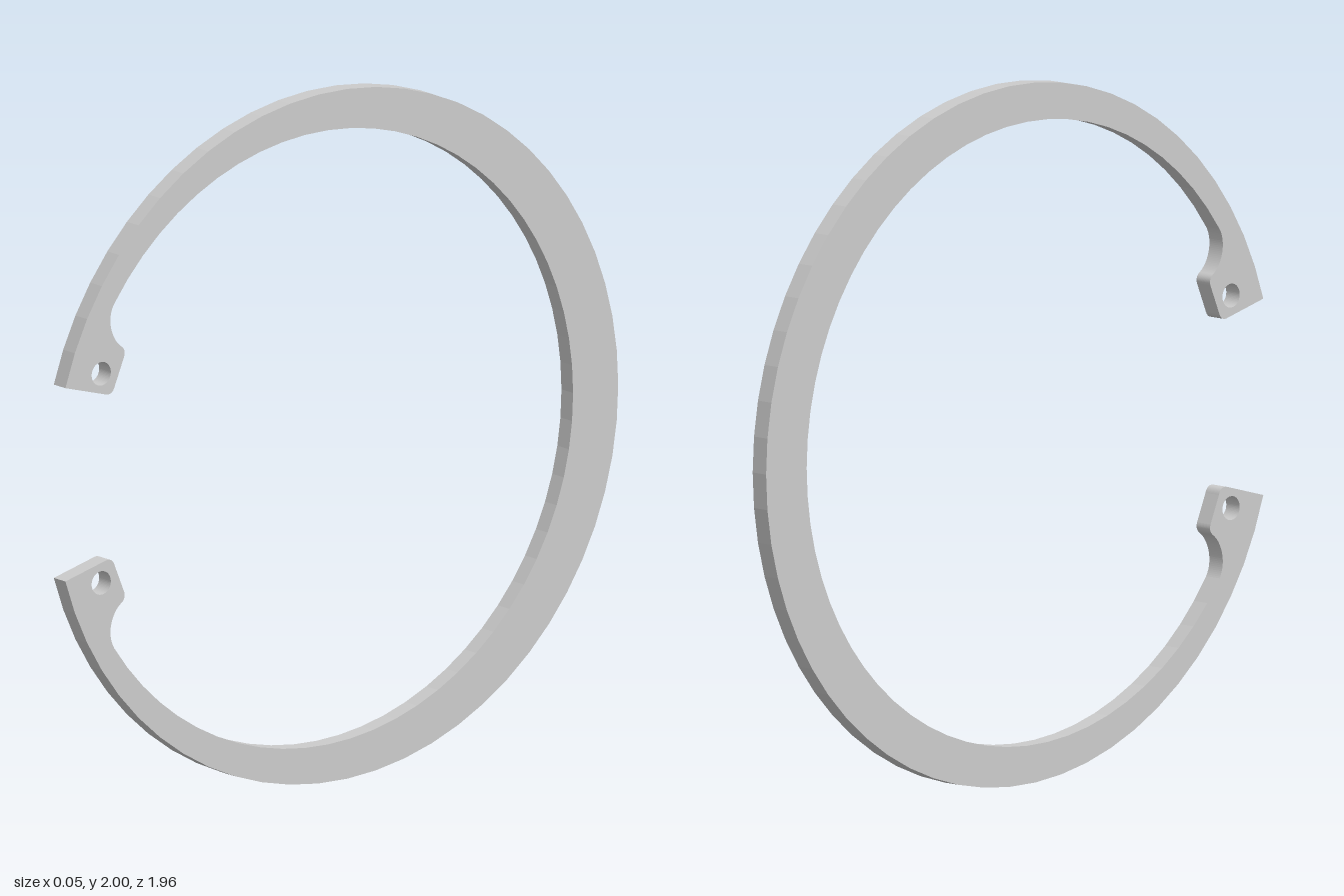
import * as THREE from 'three';

const THICKNESS = 0.054;
const OUTER = { u: 0.02, r: 1.0, angle: Math.asin(0.28) };
const INNER = { u: 0.07, r: 0.89, angle: 0.594 };
const HOLE = { u: 0.853, v: 0.303, r: 0.034 };

// Profile drawn with u = depth (towards the gap) and v = height from the centre
function ringShape() {
  const s = new THREE.Shape();
  // outer edge, from the upper tip round the back to the lower tip
  s.absarc(OUTER.u, 0, OUTER.r, OUTER.angle, 2 * Math.PI - OUTER.angle, false);
  // lower lug: end face, two rounded corners, hollow neck
  s.lineTo(0.835, -0.24);
  s.quadraticCurveTo(0.813, -0.236, 0.805, -0.26);
  s.lineTo(0.772, -0.34);
  s.quadraticCurveTo(0.765, -0.36, 0.782, -0.372);
  s.bezierCurveTo(0.815, -0.395, 0.835, -0.455, 0.807, -0.498);
  // inner edge, off-centre so the band thins towards the lugs
  s.absarc(INNER.u, 0, INNER.r, 2 * Math.PI - INNER.angle, INNER.angle, true);
  // upper lug, mirrored
  s.bezierCurveTo(0.835, 0.455, 0.815, 0.395, 0.782, 0.372);
  s.quadraticCurveTo(0.765, 0.36, 0.772, 0.34);
  s.lineTo(0.805, 0.26);
  s.quadraticCurveTo(0.813, 0.236, 0.835, 0.24);
  s.closePath();
  // plier hole in each lug
  for (const side of [1, -1]) {
    const hole = new THREE.Path();
    hole.absarc(HOLE.u, side * HOLE.v, HOLE.r, 0, 2 * Math.PI, true);
    s.holes.push(hole);
  }
  return s;
}

export function createModel() {
  const group = new THREE.Group();
  group.name = 'retainingRing';
  const geometry = new THREE.ExtrudeGeometry(ringShape(), {
    depth: THICKNESS, bevelEnabled: false, curveSegments: 28,
  });
  // centre the thickness, turn the profile to face sideways, stand it on the ground
  geometry.translate(0, 0, -THICKNESS / 2);
  geometry.rotateY(-Math.PI / 2);
  geometry.translate(0, 1, 0);
  const ring = new THREE.Mesh(geometry, new THREE.MeshStandardMaterial({ color: 0xcccccc }));
  ring.name = 'ringWithLugs';
  group.add(ring);
  return group;
}
